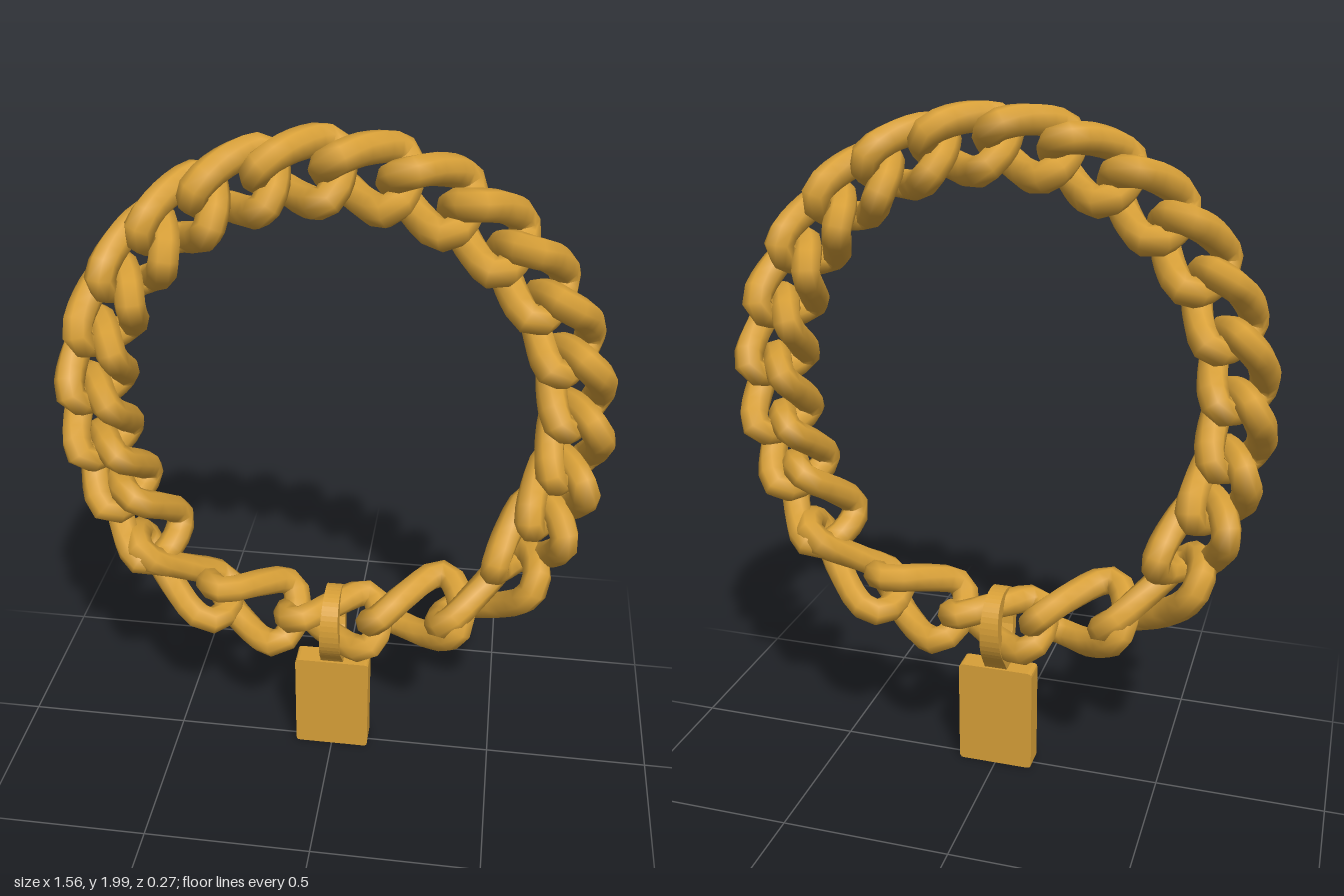
import * as THREE from 'three';

const gold = new THREE.MeshStandardMaterial({ color: 0xd8a038 });
gold.name = 'gold';

const CENTRE_Y = 1.19, RING = 0.695, SQUEEZE = 0.965, WIRE = 0.042;
const bend = (v, p) => Math.sign(v) * Math.pow(Math.abs(v), p);

// Oval link bent around the ring: the outer strand crosses front to back, the inner one back to front
class LinkCurve extends THREE.Curve {
  constructor(o) {
    super();
    this.o = o;
  }
  getPoint(u, target = new THREE.Vector3()) {
    const { angle, half, width = 0.07, out = 0, depth = 0.08 } = this.o;
    const a = u * Math.PI * 2;
    const t = half * bend(Math.cos(a), 0.9);
    const theta = THREE.MathUtils.degToRad(angle) + t / RING;
    const r = RING + out + width * bend(Math.sin(a), 0.9);
    const x = r * Math.sin(theta) * SQUEEZE;
    return target.set(x, CENTRE_Y + r * Math.cos(theta), -depth * Math.sin(2 * a) - 0.022 * x);
  }
}

function makeLink(o) {
  const geometry = new THREE.TubeGeometry(new LinkCurve(o), 24, WIRE, 8, true);
  const link = new THREE.Mesh(geometry, gold);
  link.name = 'chainLink';
  return link;
}

// Half of the chain, from the top round to beside the pendant
function makeHalf() {
  const half = new THREE.Group();
  for (let i = 0; i < 8; i++) half.add(makeLink({ angle: 7.3 + i * 14.4, half: 0.108 }));
  half.add(makeLink({ angle: 122.5, half: 0.13, width: 0.075, out: 0.01 }));
  half.add(makeLink({ angle: 140, half: 0.17, width: 0.04, out: 0.068 }));
  half.add(makeLink({ angle: 158.5, half: 0.145, width: 0.08, out: 0.025 }));
  return half;
}

// Flat loop holding the pendant, wider towards its foot
function makeBail() {
  const shape = new THREE.Shape();
  shape.moveTo(-0.02, 0.32);
  shape.lineTo(0.02, 0.32);
  shape.bezierCurveTo(0.045, 0.37, 0.098, 0.4, 0.098, 0.48);
  shape.bezierCurveTo(0.098, 0.55, 0.06, 0.585, 0, 0.585);
  shape.bezierCurveTo(-0.06, 0.585, -0.098, 0.55, -0.098, 0.48);
  shape.bezierCurveTo(-0.098, 0.4, -0.045, 0.37, -0.02, 0.32);
  const hole = new THREE.Path();
  hole.absellipse(0, 0.467, 0.062, 0.08, 0, Math.PI * 2, true);
  shape.holes.push(hole);
  const g = new THREE.ExtrudeGeometry(shape, { depth: 0.05, bevelEnabled: false, curveSegments: 10 });
  g.translate(0, 0, -0.025);
  g.rotateY(Math.PI / 2);
  const p = g.attributes.position;
  for (let i = 0; i < p.count; i++) {
    const k = THREE.MathUtils.clamp((0.587 - p.getY(i)) / 0.25, 0, 1);
    p.setX(i, p.getX(i) * (0.95 + 0.45 * k));
  }
  g.computeVertexNormals();
  const bail = new THREE.Mesh(g, gold);
  bail.name = 'bail';
  return bail;
}

// Rectangular tag with softened corners
function makePendant() {
  const w = 0.115, h = 0.332, c = 0.013;
  const s = new THREE.Shape();
  s.moveTo(-w + c, 0);
  s.lineTo(w - c, 0);
  s.quadraticCurveTo(w, 0, w, c);
  s.lineTo(w, h - c);
  s.quadraticCurveTo(w, h, w - c, h);
  s.lineTo(-w + c, h);
  s.quadraticCurveTo(-w, h, -w, h - c);
  s.lineTo(-w, c);
  s.quadraticCurveTo(-w, 0, -w + c, 0);
  const g = new THREE.ExtrudeGeometry(s, { depth: 0.07, bevelEnabled: false, curveSegments: 3 });
  g.translate(0, 0, -0.035);
  const pendant = new THREE.Mesh(g, gold);
  pendant.name = 'pendant';
  return pendant;
}

export function createModel() {
  const model = new THREE.Group();
  model.name = 'chainWithPendant';

  const left = makeHalf();
  left.name = 'leftChain';
  const right = makeHalf();
  right.name = 'rightChain';
  right.rotation.y = Math.PI;

  const lowest = makeLink({ angle: 180, half: 0.145, width: 0.06, out: 0.022 });
  lowest.name = 'lowestLink';

  model.add(left, right, lowest, makeBail(), makePendant());
  return model;
}
